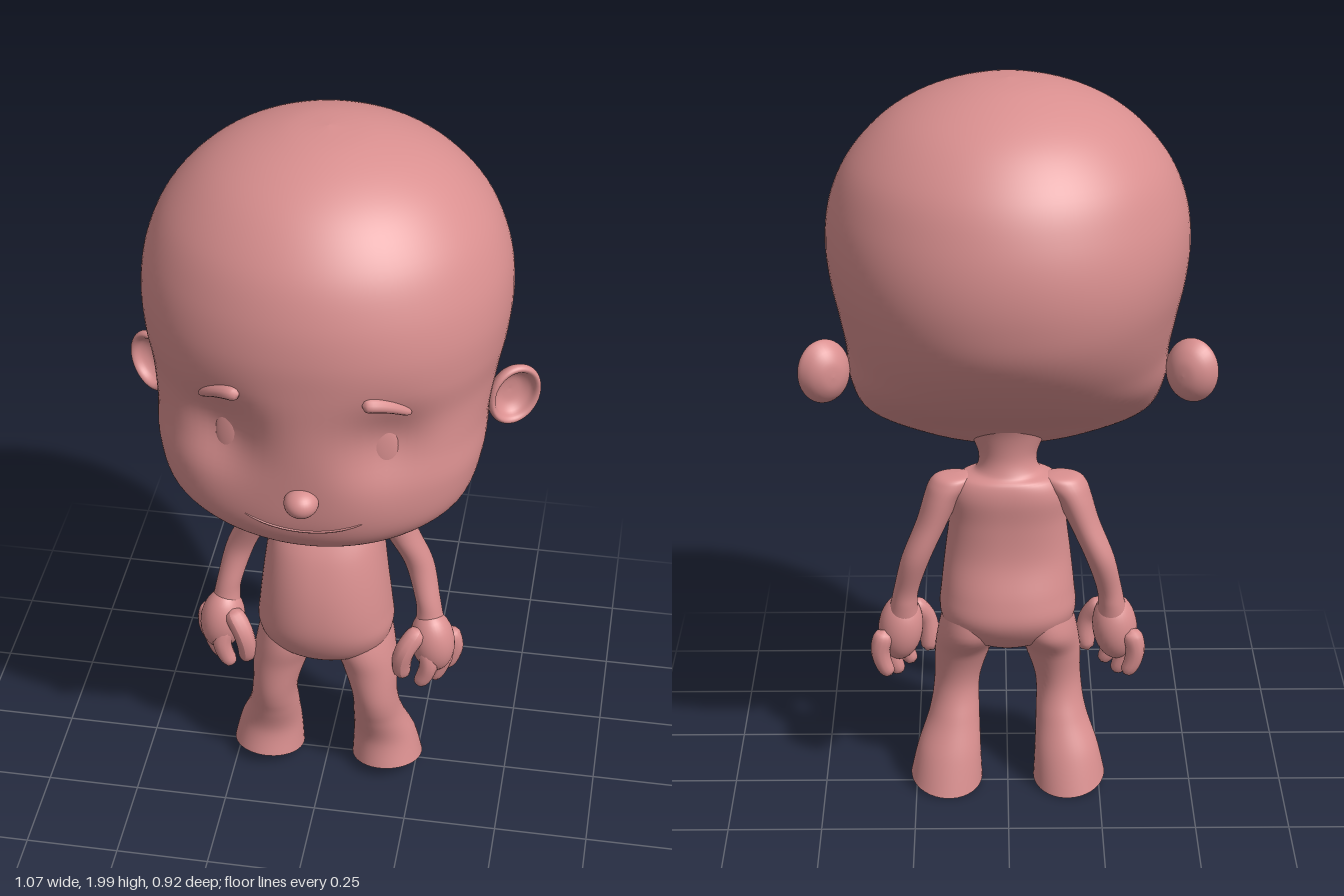
import * as THREE from 'three';

const skin = new THREE.MeshStandardMaterial({ color: 0xd98f8f, side: THREE.DoubleSide });
const spow = (v, p) => Math.sign(v) * Math.abs(v) ** p;
const gauss = (x, y, sx, sy) => Math.exp(-((x / sx) ** 2) - (y / sy) ** 2);

// Smooth cross-section between rows; row = [y, centreX, halfWidth, centreZ, frontZ, backZ, exponent]
function section(rows, u) {
  const f = u * (rows.length - 1), i = Math.min(Math.floor(f), rows.length - 2), t = f - i;
  const row = k => rows[Math.max(0, Math.min(rows.length - 1, k))];
  const [a, b, c, d] = [row(i - 1), row(i), row(i + 1), row(i + 2)];
  return b.map((p, k) => p + 0.5 * t * (c[k] - a[k]
    + t * (2 * a[k] - 5 * p + 4 * c[k] - d[k] + t * (3 * (p - c[k]) + d[k] - a[k]))));
}

// Closed rings stacked from bottom to top, with an optional rule moving each vertex
function loft(rows, steps, seg, rule) {
  const pos = [], index = [];
  for (let i = 0; i <= steps; i++) {
    const [y, cx, w, zc, zf, zb, n] = section(rows, i / steps);
    for (let j = 0; j < seg; j++) {
      const a = (j / seg) * Math.PI * 2, s = Math.sin(a), c = Math.cos(a);
      const v = new THREE.Vector3(cx + w * spow(s, 2 / n), y, zc + (c > 0 ? zf - zc : zc - zb) * spow(c, 2 / n));
      if (rule) rule(v);
      pos.push(v.x, v.y, v.z);
      if (i < steps) {
        const p = i * seg + j, q = i * seg + (j + 1) % seg;
        index.push(p, q, q + seg, p, q + seg, p + seg);
      }
    }
  }
  const g = new THREE.BufferGeometry();
  g.setAttribute('position', new THREE.Float32BufferAttribute(pos, 3));
  g.setIndex(index);
  g.computeVertexNormals();
  return g;
}

// Tube with rounded, tapered ends; r0 and r1 are the radii at start and end
function taperTube(points, r0, r1, steps = 16, sides = 12) {
  const curve = new THREE.CatmullRomCurve3(points.map(p => new THREE.Vector3(...p)));
  const g = new THREE.TubeGeometry(curve, steps, 1, sides), p = g.attributes.position, v = new THREE.Vector3();
  for (let i = 0; i < p.count; i++) {
    const t = Math.floor(i / (sides + 1)) / steps, c = curve.getPointAt(t);
    const r = (r0 + (r1 - r0) * t) * Math.sqrt(Math.max(0, 1 - (2 * t - 1) ** 6));
    v.fromBufferAttribute(p, i).sub(c).multiplyScalar(r).add(c);
    p.setXYZ(i, v.x, v.y, v.z);
  }
  g.computeVertexNormals();
  return g;
}

function mirrored(g) {
  const m = g.clone();
  m.attributes.position.array.forEach((x, i, arr) => { if (i % 3 === 0) arr[i] = -x; });
  const ix = m.index.array;
  for (let i = 0; i < ix.length; i += 3) [ix[i], ix[i + 1]] = [ix[i + 1], ix[i]];
  m.computeVertexNormals();
  return m;
}

const headRows = [
  [0.972, 0, 0, 0.24, 0.24, 0.24, 2.2],
  [0.978, 0, 0.11, 0.24, 0.30, 0.16, 2.2],
  [1.0, 0, 0.2, 0.2, 0.345, 0.05, 2.2],
  [1.04, 0, 0.3, 0.17, 0.38, -0.01, 2.3],
  [1.1, 0, 0.38, 0.13, 0.402, -0.09, 2.3],
  [1.2, 0, 0.412, 0.1, 0.415, -0.245, 2.3],
  [1.3, 0, 0.418, 0.07, 0.425, -0.355, 2.2],
  [1.4, 0, 0.434, 0.04, 0.432, -0.425, 2.1],
  [1.5, 0, 0.453, 0.03, 0.44, -0.453, 2.1],
  [1.6, 0, 0.46, 0.02, 0.443, -0.457, 2.05],
  [1.7, 0, 0.445, 0.01, 0.427, -0.437, 2],
  [1.8, 0, 0.4, 0, 0.385, -0.393, 2],
  [1.89, 0, 0.32, 0, 0.31, -0.315, 2],
  [1.95, 0, 0.225, 0, 0.22, -0.22, 2],
  [1.988, 0, 0.11, 0, 0.11, -0.11, 2],
  [2.0, 0, 0, 0, 0, 0, 2],
];

// Eye hollows pressed into the face
const face = v => {
  if (v.z > 0.1) v.z -= 0.05 * gauss(Math.abs(v.x) - 0.2, v.y - 1.34, 0.1, 0.11);
};

// Depth of the face surface at x, y
function faceZ(x, y) {
  let lo = 0, hi = 1;
  for (let i = 0; i < 30; i++) {
    const m = (lo + hi) / 2;
    if (section(headRows, m)[0] < y) lo = m; else hi = m;
  }
  const [, , w, zc, zf, , n] = section(headRows, lo);
  const v = new THREE.Vector3(x, y, zc + (zf - zc) * (1 - Math.abs(x / w) ** n) ** (1 / n));
  face(v);
  return v.z;
}

export function createModel() {
  const model = new THREE.Group();
  const add = (name, g) => {
    const m = new THREE.Mesh(g, skin);
    m.name = name;
    model.add(m);
  };
  const pair = (name, g) => {
    add('left' + name, g);
    add('right' + name, mirrored(g));
  };
  const ball = (sx, sy, sz) => new THREE.SphereGeometry(1, 32, 20).scale(sx, sy, sz);

  add('head', loft(headRows, 90, 96, face));

  // Neck, belly and hips
  add('torso', loft([
    [0.425, 0, 0, 0.04, 0.04, 0.04, 2],
    [0.435, 0, 0.08, 0.04, 0.11, -0.03, 2],
    [0.47, 0, 0.155, 0.04, 0.16, -0.075, 2.1],
    [0.53, 0, 0.182, 0.04, 0.193, -0.107, 2.2],
    [0.6, 0, 0.178, 0.04, 0.205, -0.1, 2.2],
    [0.7, 0, 0.167, 0.04, 0.195, -0.073, 2.2],
    [0.8, 0, 0.155, 0.03, 0.165, -0.07, 2.3],
    [0.88, 0, 0.15, 0.01, 0.12, -0.077, 2.3],
    [0.925, 0, 0.13, 0.01, 0.1, -0.07, 2.2],
    [0.945, 0, 0.085, 0.02, 0.095, -0.052, 2],
    [0.99, 0, 0.078, 0.03, 0.105, -0.04, 2],
    [1.06, 0, 0.11, 0.05, 0.14, -0.05, 2],
    [1.13, 0, 0.13, 0.05, 0.14, -0.08, 2],
  ], 72, 64));

  // Legs, open at a slanted ankle
  pair('Leg', loft([
    [0.0, 0.168, 0.098, 0.005, 0.108, -0.1, 2],
    [0.1, 0.16, 0.086, 0.01, 0.095, -0.07, 2],
    [0.2, 0.146, 0.069, 0.04, 0.115, -0.033, 2],
    [0.3, 0.138, 0.062, 0.065, 0.14, -0.008, 2],
    [0.4, 0.122, 0.075, 0.055, 0.145, -0.03, 2],
    [0.48, 0.1, 0.085, 0.04, 0.15, -0.08, 2],
    [0.58, 0.08, 0.08, 0.03, 0.13, -0.07, 2],
  ], 40, 40, v => {
    v.y += Math.max(0, 1 - v.y / 0.25) * (0.027 + 0.2 * v.z + 0.06 * (v.x - 0.168));
  }));

  // Arms from rounded shoulder to wrist
  pair('Arm', loft([
    [0.5, 0.282, 0.045, 0.025, 0.07, -0.02, 2],
    [0.55, 0.278, 0.036, 0.017, 0.055, -0.025, 2],
    [0.6, 0.27, 0.034, 0.01, 0.047, -0.03, 2],
    [0.7, 0.243, 0.039, -0.012, 0.03, -0.055, 2],
    [0.8, 0.2, 0.042, 0, 0.05, -0.055, 2],
    [0.87, 0.172, 0.049, 0.01, 0.065, -0.055, 2],
    [0.91, 0.15, 0.057, 0.01, 0.06, -0.05, 2],
    [0.932, 0.138, 0.045, 0.008, 0.04, -0.035, 2],
    [0.937, 0.13, 0, 0.008, 0.008, 0.008, 2],
  ], 48, 32));

  // Hands: palm, thumb and three curled fingers
  pair('Palm', ball(0.06, 0.095, 0.062).rotateY(0.5).rotateZ(0.12).translate(0.289, 0.47, 0.03));
  pair('Thumb', taperTube([[0.26, 0.53, 0.06], [0.222, 0.47, 0.085], [0.212, 0.41, 0.082], [0.22, 0.37, 0.075]], 0.03, 0.025));
  [[0.277, 0.068, 0.338], [0.312, 0.025, 0.328], [0.335, -0.014, 0.345]].forEach(([x, z, y], i) =>
    pair('Finger' + (i + 1), taperTube(
      [[x - 0.005, 0.48, z * 0.8], [x + 0.008, 0.42, z], [x - 0.002, 0.375, z], [x - 0.022, y, z]], 0.03, 0.021)));

  // Cupped ears facing forward and outward
  const earProfile = [[0, -0.05], [0.035, -0.046], [0.065, -0.03], [0.084, -0.006], [0.086, 0.008], [0.078, 0.016],
    [0.068, 0.011], [0.058, -0.006], [0.035, -0.02], [0, -0.024]].map(p => new THREE.Vector2(...p));
  const earCurve = new THREE.SplineCurve(earProfile).getPoints(36).map(p => p.setX(Math.max(0, p.x)));
  pair('Ear', new THREE.LatheGeometry(earCurve, 40).rotateX(Math.PI / 2).scale(0.84, 1, 1)
    .rotateZ(-0.15).rotateY(0.55).translate(0.468, 1.245, -0.05));

  // Small face features resting on the surface
  add('nose', ball(0.043, 0.037, 0.045).translate(0, 1.188, 0.417));
  pair('Eye', ball(0.033, 0.068, 0.009).rotateX(-0.05).rotateY(0.3).translate(0.193, 1.325, faceZ(0.193, 1.325) - 0.003));
  pair('Brow', taperTube([[0.147, 1.49], [0.175, 1.488], [0.215, 1.473], [0.258, 1.442]]
    .map(([x, y]) => [x, y, faceZ(x, y) + 0.004]), 0.021, 0.01, 24));
  const smile = [];
  for (let i = -6; i <= 6; i++) {
    const x = i * 0.025, y = 1.085 + 1.6 * x * x;
    smile.push([x, y, faceZ(x, y) - 0.001]);
  }
  add('mouth', taperTube(smile, 0.004, 0.004, 40, 8));

  return model;
}
